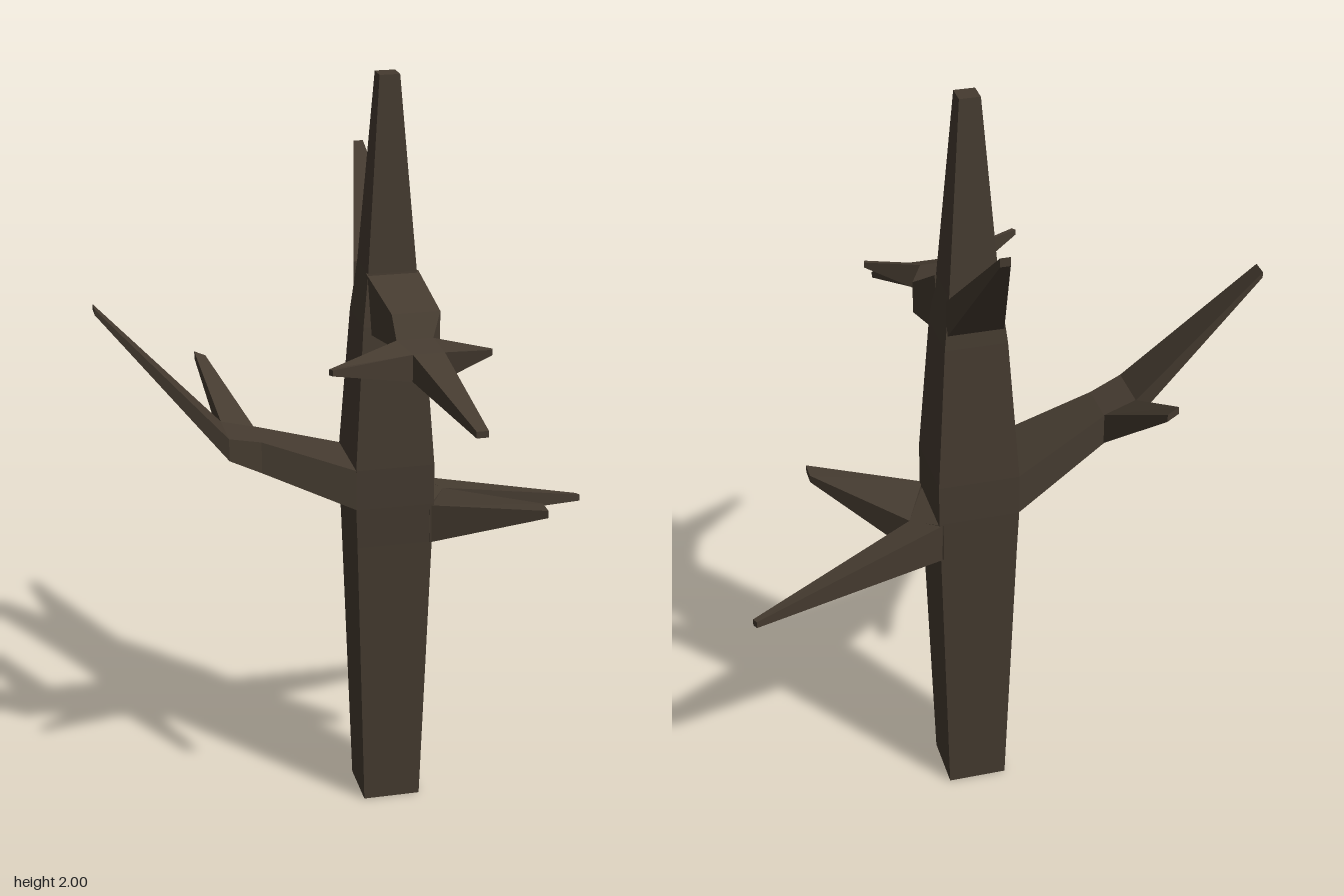
import * as THREE from 'three';

const bark = new THREE.MeshStandardMaterial({ color: 0x453b30, roughness: 1, flatShading: true });

// Closed solid through a list of four-cornered rings
function loft(name, rings) {
  const pos = [];
  const tri = (a, b, c) => pos.push(...a, ...b, ...c);
  const quad = (a, b, c, d) => { tri(a, b, c); tri(a, c, d); };
  for (let i = 0; i < rings.length - 1; i++) {
    const r = rings[i], s = rings[i + 1];
    for (let k = 0; k < 4; k++) {
      const n = (k + 1) % 4;
      quad(r[k], r[n], s[n], s[k]);
    }
  }
  const first = rings[0], last = rings[rings.length - 1];
  quad(first[3], first[2], first[1], first[0]);
  quad(...last);

  // Turn the faces outward when the signed volume is negative
  const v = (i) => new THREE.Vector3().fromArray(pos, i);
  let volume = 0;
  for (let i = 0; i < pos.length; i += 9) volume += v(i).dot(v(i + 3).cross(v(i + 6)));
  if (volume < 0) {
    for (let i = 0; i < pos.length; i += 9) {
      for (let k = 0; k < 3; k++) [pos[i + 3 + k], pos[i + 6 + k]] = [pos[i + 6 + k], pos[i + 3 + k]];
    }
  }
  const geo = new THREE.BufferGeometry();
  geo.setAttribute('position', new THREE.Float32BufferAttribute(pos, 3));
  geo.computeVertexNormals();
  const mesh = new THREE.Mesh(geo, bark);
  mesh.name = name;
  return mesh;
}

// Level square ring of the trunk
const level = ([y, h]) => [[-h, -h], [h, -h], [h, h], [-h, h]].map(([x, z]) => [0.072 + x, y, -0.112 + z]);

// Upright ring between two plan points: xA, zA, xB, zB, low y, high y (end B may differ)
const upright = ([xa, za, xb, zb, lo, hi, loB = lo, hiB = hi]) =>
  [[xa, lo, za], [xb, loB, zb], [xb, hiB, zb], [xa, hi, za]];

const limb = (name, ...sections) => loft(name, sections.map(upright));

function branch(name, ...parts) {
  const group = new THREE.Group();
  group.name = name;
  group.add(...parts);
  return group;
}

export function createModel() {
  const tree = new THREE.Group();
  tree.name = 'deadTree';

  tree.add(loft('trunk', [
    [0, 0.077], [0.77, 0.1], [0.88, 0.104], [0.99, 0.104], [1.37, 0.079], [1.505, 0.063], [2, 0.026],
  ].map(level)));

  // Right branch, bent upward, with a twig to the back
  tree.add(branch('rightBranch',
    limb('rightLimb',
      [-0.03, -0.216, -0.03, -0.008, 0.88, 0.99],
      [-0.275, -0.142, -0.275, 0.025 - 0.05, 1.0, 1.085],
      [-0.362, -0.132, -0.362, -0.003, 1.05, 1.11],
      [-0.675, -0.15, -0.675, -0.105, 1.43, 1.445]),
    limb('rightTwig',
      [-0.362, -0.13, -0.275, -0.14, 1.05, 1.11, 1.0, 1.085],
      [-0.392, -0.36, -0.362, -0.365, 1.205, 1.225, 1.19, 1.21])));

  // Left branch, forked into a long back arm and a short front arm
  tree.add(branch('leftBranch',
    limb('leftFork',
      [0.165, -0.216, 0.165, -0.008, 0.77, 0.875],
      [0.238, -0.152, 0.2381, -0.15, 0.765, 0.86]),
    limb('leftBackArm',
      [0.17, -0.216, 0.238, -0.15, 0.77, 0.875, 0.765, 0.86],
      [0.665, -0.306, 0.672, -0.292, 0.722, 0.74]),
    limb('leftFrontArm',
      [0.238, -0.15, 0.17, -0.008, 0.765, 0.86, 0.77, 0.875],
      [0.448, 0.075, 0.448, 0.125, 0.868, 0.888])));

  // Front branch, ending in three twigs
  tree.add(branch('frontBranch',
    limb('frontLimb',
      [0.005, -0.055, 0.14, -0.055, 1.35, 1.505],
      [0.045, 0.055, 0.17, 0.055, 1.345, 1.43],
      [0.027, 0.18, 0.12, 0.18, 1.33, 1.405],
      [0.055, 0.235, 0.135, 0.235, 1.315, 1.385]),
    limb('frontRightTwig',
      [0.027, 0.18, 0.055, 0.235, 1.33, 1.405, 1.315, 1.385],
      [-0.17, 0.318, -0.163, 0.328, 1.38, 1.395]),
    limb('frontMiddleTwig',
      [0.055, 0.235, 0.135, 0.235, 1.315, 1.385],
      [0.16, 0.443, 0.19, 0.443, 1.238, 1.255]),
    limb('frontLeftTwig',
      [0.12, 0.18, 0.135, 0.235, 1.33, 1.405, 1.315, 1.385],
      [0.25, 0.253, 0.246, 0.263, 1.378, 1.392])));

  // Back branch, rising straight from the trunk
  tree.add(limb('backBranch',
    [0, -0.18, 0.144, -0.18, 1.4, 1.5],
    [0.06, -0.444, 0.085, -0.444, 1.725, 1.748]));

  return tree;
}
